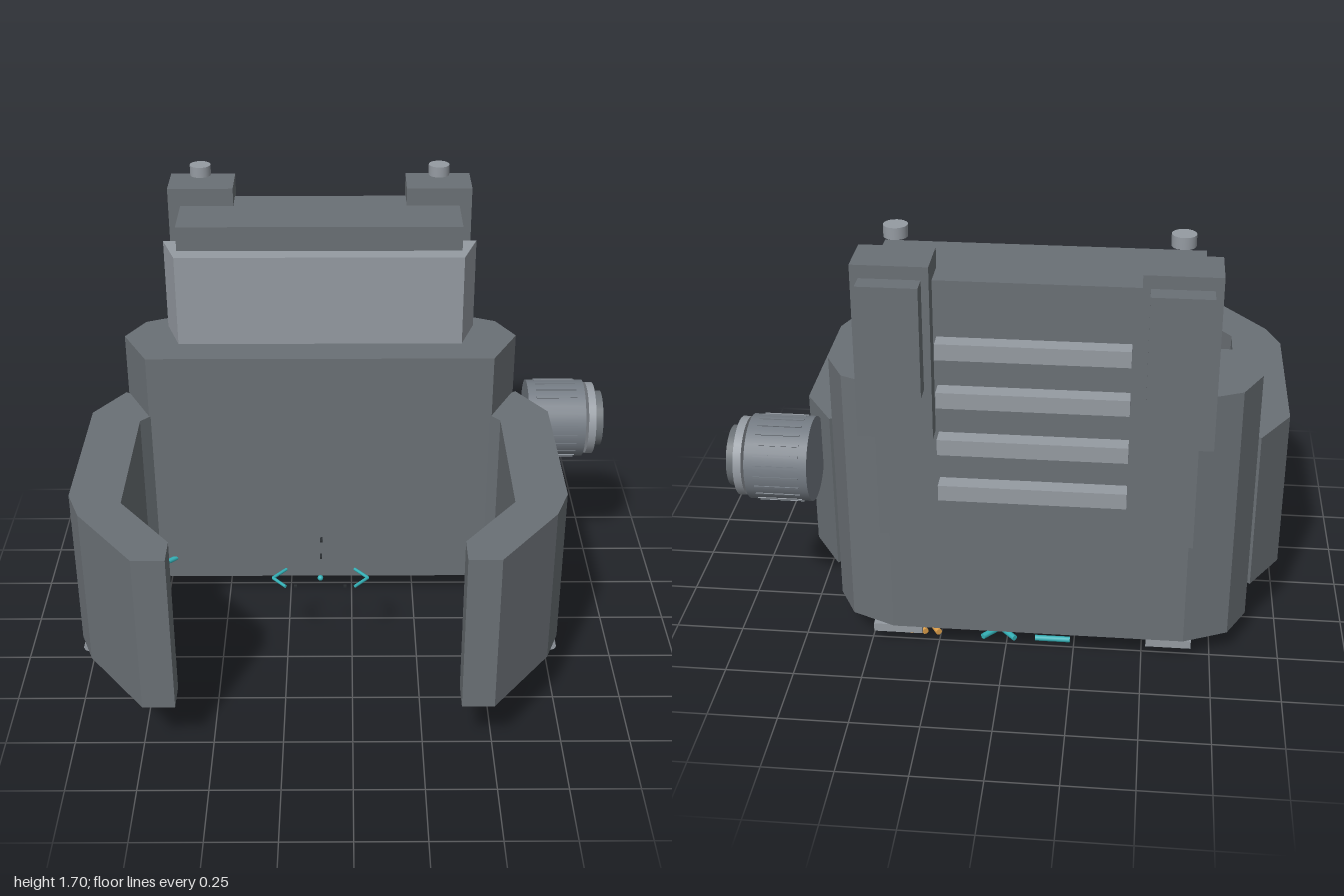
import * as THREE from 'three';

const mat = (name, color) => {
  const m = new THREE.MeshStandardMaterial({ color });
  m.name = name;
  return m;
};

export function createModel() {
  const shell = mat('shell grey', 0x6a7075);
  const pale = mat('pale grey', 0x959ba2);
  const knobGrey = mat('knob grey', 0x757c84);
  const teal = mat('teal light', 0x34b2b8);
  const orange = mat('orange contact', 0xe0a04a);
  const black = mat('black mark', 0x2a2e31);

  const root = new THREE.Group();
  root.name = 'armBracer';
  // everything is symmetric about this offset group, except the side knob
  const g = new THREE.Group();
  g.name = 'body';
  g.position.x = -0.12;
  root.add(g);

  const add = (name, geo, material, x = 0, y = 0, z = 0) => {
    const m = new THREE.Mesh(geo, material);
    m.name = name;
    m.position.set(x, y, z);
    g.add(m);
    return m;
  };
  // box given by its limits
  const box = (name, material, x0, x1, y0, y1, z0, z1) =>
    add(name, new THREE.BoxGeometry(x1 - x0, y1 - y0, z1 - z0), material,
      (x0 + x1) / 2, (y0 + y1) / 2, (z0 + z1) / 2);
  // prism with a plan outline of [x, z] points
  const prism = (name, material, pts, y0, y1) => {
    const shape = new THREE.Shape(pts.map(([x, z]) => new THREE.Vector2(x, -z)));
    const geo = new THREE.ExtrudeGeometry(shape, { depth: y1 - y0, bevelEnabled: false });
    geo.rotateX(-Math.PI / 2);
    return add(name, geo, material, 0, y0, 0);
  };
  const mirrored = (pts) => [...pts, ...pts.map(([x, z]) => [-x, z]).reverse()];
  // thin round rods through [x, z] points at one height
  const rods = (name, material, pts, y, r) => {
    for (let i = 0; i < pts.length - 1; i++) {
      const a = new THREE.Vector3(pts[i][0], y, pts[i][1]);
      const b = new THREE.Vector3(pts[i + 1][0], y, pts[i + 1][1]);
      const dir = b.clone().sub(a);
      const m = add(name, new THREE.CylinderGeometry(r, r, dir.length(), 8), material);
      m.position.copy(a.add(b).multiplyScalar(0.5));
      m.quaternion.setFromUnitVectors(new THREE.Vector3(0, 1, 0), dir.normalize());
    }
  };

  // central shell, sloped display block and back housing
  prism('mainShell', shell,
    mirrored([[0.66, -0.16], [0.76, -0.36], [0.69, -0.49], [0.53, -0.56]]), 0.1, 1.09);
  prism('displayBlock', pale, mirrored([[0.545, -0.29], [0.6, -0.455]]), 1.08, 1.447);
  box('backHousing', shell, -0.54, 0.54, 0.583, 1.543, -0.683, -0.355);

  // cooling bars across the back
  for (let i = 0; i < 4; i++) {
    const y = 0.847 + i * 0.172;
    box('coolingBar', pale, -0.31, 0.31, y - 0.028, y + 0.028, -0.834, -0.777);
  }

  const armPlan = [[0.77, -0.36], [0.88, -0.19], [0.88, 0.42], [0.83, 0.55], [0.615, 0.83],
    [0.5, 0.83], [0.5, 0.72], [0.69, 0.47], [0.69, -0.12], [0.6, -0.22]];
  const stripPlan = [[0.815, -0.14], [0.815, 0.42], [0.775, 0.53], [0.62, 0.73],
    [0.575, 0.7], [0.735, 0.49], [0.735, -0.14]];

  for (const s of [-1, 1]) {
    const flip = (pts) => pts.map(([x, z]) => [x * s, z]);
    const sideBox = (name, material, x0, x1, ...rest) =>
      box(name, material, Math.min(s * x0, s * x1), Math.max(s * x0, s * x1), ...rest);

    // gripping arms with their underside trim
    prism('arm', shell, flip(armPlan), 0.23, 0.845);
    prism('armTrim', pale, flip(stripPlan), 0.205, 0.235);
    rods('armRail', pale, flip([[0.862, -0.07], [0.862, 0.43]]), 0.187, 0.018);
    rods('armLight', teal, flip([[0.68, 0.41], [0.68, -0.085], [0.575, -0.18]]), 0.187, 0.01);
    rods('armTipLight', teal, flip([[0.66, 0.645], [0.58, 0.755]]), 0.185, 0.008);

    // back towers, cover plates and top buttons
    sideBox('tower', shell, 0.335, 0.587, 1.0, 1.613, -0.745, -0.575);
    sideBox('towerCover', shell, 0.36, 0.56, 1.183, 1.568, -0.812, -0.744);
    add('towerButton', new THREE.CylinderGeometry(0.04, 0.04, 0.04, 20), pale, s * 0.458, 1.68, -0.605);

    // small pins below
    add('footPin', new THREE.CylinderGeometry(0.026, 0.026, 0.028, 16), pale, s * 0.602, 0.038, -0.39);

    // inner marker chevrons and ticks
    rods('markerChevron', teal, flip([[0.13, 0.168], [0.18, 0.226], [0.13, 0.283]]), 0.357, 0.006);
    box('markerTick', black, s * 0.093 - 0.006, s * 0.093 + 0.006, 0.353, 0.361, 0.276, 0.284);
  }
  for (const z of [-0.035, 0.08])
    box('markerTick', black, -0.004, 0.004, 0.353, 0.361, z - 0.013, z + 0.013);
  add('markerDot', new THREE.SphereGeometry(0.011, 12, 8), teal, 0, 0.357, 0.227);

  // base plate with end blocks, slanted contacts and lights
  box('basePlate', shell, -0.59, 0.58, 0.075, 0.105, -0.49, -0.27);
  box('footBlock', pale, -0.56, -0.395, 0.047, 0.08, -0.53, -0.33);
  box('footBlock', pale, 0.43, 0.61, 0.05, 0.083, -0.53, -0.33);
  for (let i = 0; i < 3; i++)
    rods('contact', orange, [[0.43 + i * 0.05, -0.415], [0.37 + i * 0.05, -0.51]], 0.045, 0.012);
  rods('baseLight', teal, [[0.09, -0.35], [0.21, -0.48]], 0.014, 0.011);
  rods('baseLight', teal, [[0.21, -0.35], [0.09, -0.48]], 0.014, 0.011);
  for (const z of [-0.36, -0.47])
    rods('baseLight', teal, [[-0.115, z], [0.015, z]], 0.014, 0.011);

  // ribbed side knob
  const knob = new THREE.Group();
  knob.name = 'knob';
  knob.position.set(0, 0.703, -0.4);
  root.add(knob);
  const disc = (name, r, x0, x1, material) => {
    const geo = new THREE.CylinderGeometry(r, r, x1 - x0, 32);
    geo.rotateZ(-Math.PI / 2);
    const m = new THREE.Mesh(geo, material);
    m.name = name;
    m.position.x = (x0 + x1) / 2;
    knob.add(m);
  };
  disc('knobBarrel', 0.154, 0.7, 0.925, knobGrey);
  disc('knobFlange', 0.143, 0.938, 0.967, pale);
  disc('knobCap', 0.11, 0.965, 1.0, shell);
  const ribGeo = new THREE.BoxGeometry(0.16, 0.008, 0.008);
  for (let i = 0; i < 24; i++) {
    const a = (i / 24) * Math.PI * 2;
    const rib = new THREE.Mesh(ribGeo, knobGrey);
    rib.name = 'knobRib';
    rib.position.set(0.812, Math.cos(a) * 0.153, Math.sin(a) * 0.153);
    rib.rotation.x = a;
    knob.add(rib);
  }
  return root;
}
